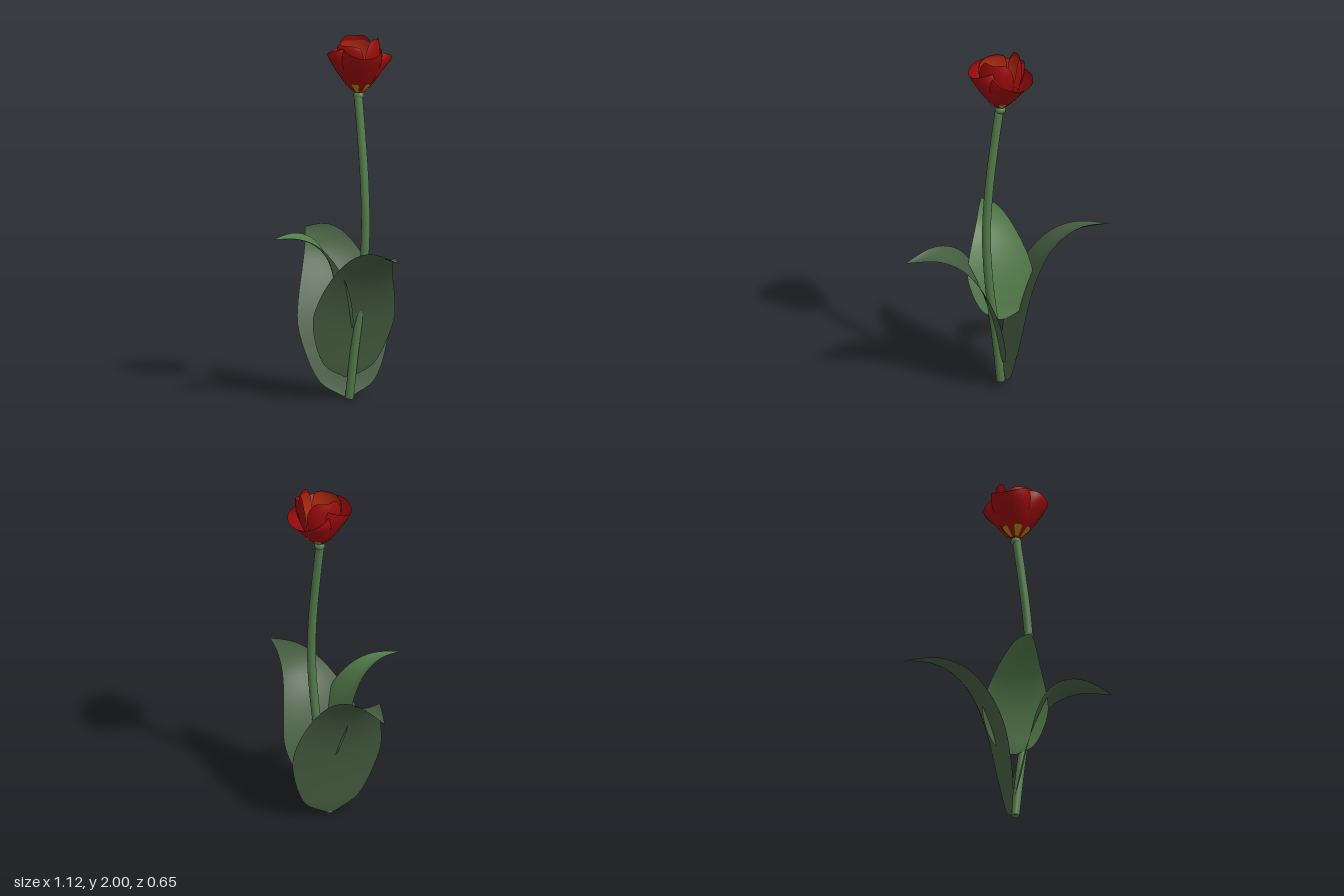
import * as THREE from 'three';

const mat = (name, color) => new THREE.MeshStandardMaterial({ name, color, side: THREE.DoubleSide });

// Smooth sheet from a rule fn(u, v) -> [x, y, z], with u in -1..1 and v in v0..v1
function sheet(nu, nv, v0, v1, fn) {
  const pos = [], index = [];
  for (let j = 0; j <= nv; j++) {
    for (let i = 0; i <= nu; i++) pos.push(...fn((i / nu) * 2 - 1, v0 + (v1 - v0) * (j / nv)));
  }
  for (let j = 0; j < nv; j++) {
    for (let i = 0; i < nu; i++) {
      const a = j * (nu + 1) + i, b = a + 1, c = a + nu + 1, d = c + 1;
      index.push(a, b, d, a, d, c);
    }
  }
  const g = new THREE.BufferGeometry();
  g.setAttribute('position', new THREE.Float32BufferAttribute(pos, 3));
  g.setIndex(index);
  g.computeVertexNormals();
  return g;
}

// Leaf stations: outward reach, height, half width
const leafStations = [
  [0.0, 0.0, 0.02], [0.015, 0.07, 0.14], [0.035, 0.19, 0.205], [0.075, 0.38, 0.25],
  [0.122, 0.53, 0.23], [0.195, 0.68, 0.18], [0.295, 0.795, 0.125], [0.42, 0.852, 0.072], [0.605, 0.853, 0.002],
];
const midrib = new THREE.CatmullRomCurve3(leafStations.map(([r, y]) => new THREE.Vector3(r, y, 0)));
const widths = new THREE.CatmullRomCurve3(leafStations.map(([, , w], i) => new THREE.Vector3(w, i, 0)));

// Leaf running from its base towards its tip, given in plan by dx, dz.
// Twist turns the blade about the upright; it also rolls and folds towards the tip.
function leaf([bx, by, bz], [dx, dz], high, wide, twist) {
  const reach = Math.hypot(dx, dz), ox = dx / reach, oz = dz / reach;
  const side = Math.atan2(dz, dx) + twist;
  return sheet(12, 28, 0, 1, (u, v) => {
    const p = midrib.getPoint(v), t = midrib.getTangent(v);
    const w = Math.max(widths.getPoint(v).x, 0.001);
    const lift = w * ((0.05 + 0.45 * v ** 4) * u * u + 0.33 * v * v * v * u);
    const r = (p.x - t.y * lift) * reach / 0.605;
    const y = (p.y + t.x * lift) * high;
    const s = u * w * wide;
    return [bx + ox * r - Math.sin(side) * s, by + y, bz + oz * r + Math.cos(side) * s];
  });
}

// Petal: a curved strip around the flower axis; curl draws its upper sides in and up
function petal({ angle, profile, spread, curl = 0, v0 = 0, v1 = 1, inset = 0 }) {
  const curve = new THREE.CatmullRomCurve3(profile.map(([r, y]) => new THREE.Vector3(r, y, 0)));
  return sheet(18, 14, v0, v1, (u, v) => {
    const top = 1 - 0.17 * u ** 4 - 0.04 * (1 - u * u) ** 4;
    const p = curve.getPoint(v * top);
    const a = angle + u * spread * (0.7 + 0.55 * v - 0.45 * v ** 3);
    const bend = curl * u * u * v * v;
    const r = p.x * (1 - bend) - inset;
    return [Math.sin(a) * r, p.y + 0.22 * bend, Math.cos(a) * r];
  });
}

export function createModel() {
  const stemGreen = mat('stem green', 0x527a4a);
  const leafGreen = mat('leaf green', 0x455c40);
  const red = mat('petal red', 0x960a0a);
  const orange = mat('petal inside orange red', 0xac280e);
  const yellow = mat('petal base yellow', 0xa8841c);
  const dark = mat('pistil dark', 0x2c3a26);

  const model = new THREE.Group();
  const add = (parent, name, geometry, material) => {
    const mesh = new THREE.Mesh(geometry, material);
    mesh.name = name;
    parent.add(mesh);
    return mesh;
  };

  // Curved stem with a closed foot
  const path = new THREE.CatmullRomCurve3([
    [0.02, 0.004, -0.072], [0.06, 0.3, -0.076], [0.11, 0.62, -0.08], [0.133, 0.92, -0.084],
    [0.12, 1.2, -0.09], [0.09, 1.45, -0.097], [0.055, 1.69, -0.105],
  ].map((p) => new THREE.Vector3(...p)));
  add(model, 'stem', new THREE.TubeGeometry(path, 48, 0.024, 14), stemGreen);
  const foot = add(model, 'stemFoot', new THREE.CircleGeometry(0.024, 14), stemGreen);
  foot.position.set(0.02, 0.004, -0.072);
  foot.rotation.x = Math.PI / 2;

  // Three leaves at rising heights
  add(model, 'rightLeaf', leaf([0, 0.01, -0.08], [-0.56, -0.23], 1, 1.02, 0.14), leafGreen);
  add(model, 'leftLeaf', leaf([0.015, 0.12, -0.07], [0.545, 0.16], 0.83, 0.93, 0.18), leafGreen);
  add(model, 'frontLeaf', leaf([0.015, 0.375, -0.08], [-0.19, 0.4], 0.62, 0.72, 0.1), stemGreen);

  // Flower head
  const flower = new THREE.Group();
  flower.name = 'flower';
  flower.position.set(0.055, 1.69, -0.11);
  model.add(flower);
  const base = add(flower, 'receptacle', new THREE.SphereGeometry(0.03, 16, 10), stemGreen);
  base.scale.y = 0.8;
  base.position.y = -0.008;

  // Outer petals: two upright in front, one opened wider at the back, each with two yellow flecks at the foot
  const upright = [[0.024, 0.01], [0.075, 0.06], [0.122, 0.125], [0.157, 0.18], [0.181, 0.225]];
  const opened = [[0.024, 0.01], [0.08, 0.058], [0.132, 0.118], [0.175, 0.158], [0.21, 0.188]];
  for (const [name, angle, profile] of [
    ['outerPetalLeft', Math.PI / 3, upright],
    ['outerPetalRight', -Math.PI / 3, upright],
    ['outerPetalBack', Math.PI, opened],
  ]) {
    add(flower, name, petal({ angle, profile, spread: 1.3, curl: 0.3 }), red);
    for (const s of [-1, 1]) {
      const fleck = { angle: angle + s * 0.55, profile, spread: 0.36, v0: 0.02, v1: 0.27, inset: -0.004 };
      add(flower, name + 'Fleck', petal(fleck), yellow);
    }
  }

  // Inner petals: yellow at the foot, orange red on the inside
  const inner = (top) => [[0.02, 0.01], [0.068, 0.065], [0.104, 0.13], [0.118, 0.2], [0.117, 0.26], [0.104, top]];
  for (const [name, angle, top] of [
    ['innerPetalFront', 0, 0.28],
    ['innerPetalBackLeft', Math.PI * 2 / 3, 0.318],
    ['innerPetalBackRight', -Math.PI * 2 / 3, 0.318],
  ]) {
    const shape = { angle, profile: inner(top), spread: 1.1 };
    add(flower, name, petal(shape), red);
    add(flower, name + 'Base', petal({ ...shape, inset: 0.003, v0: 0.05, v1: 0.22 }), yellow);
    add(flower, name + 'Inside', petal({ ...shape, inset: 0.003, v0: 0.22, v1: 0.9 }), orange);
  }

  // Pistil with a ringed tip
  const pistil = add(flower, 'pistil', new THREE.CylinderGeometry(0.012, 0.016, 0.1, 12), dark);
  pistil.position.y = 0.05;
  const ring = add(flower, 'pistilRing', new THREE.TorusGeometry(0.015, 0.005, 8, 18), stemGreen);
  ring.position.y = 0.1;
  ring.rotation.x = Math.PI / 2;

  return model;
}
